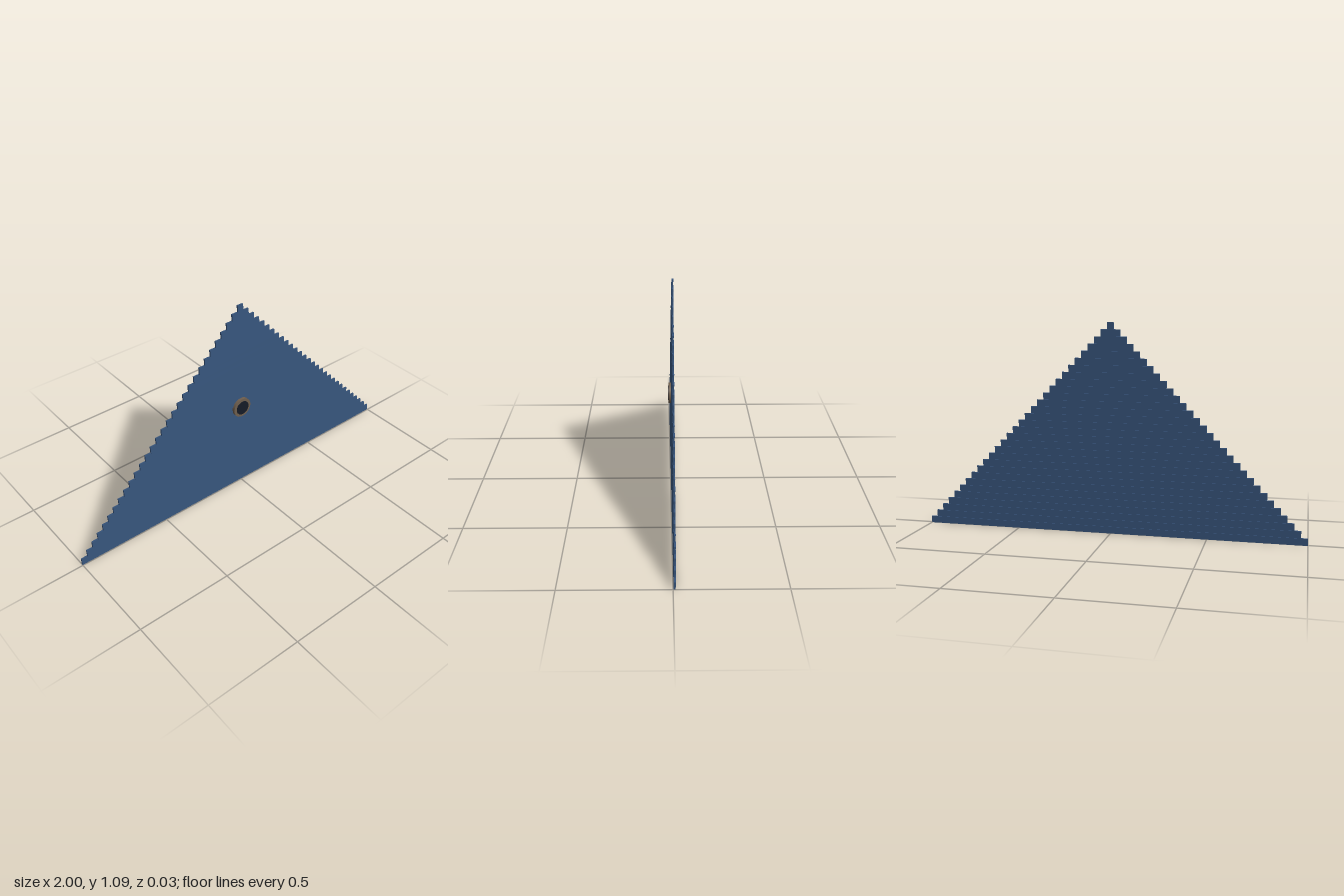
import * as THREE from 'three';

const ROWS = 30, HEIGHT = 1.09, ROW = HEIGHT / ROWS;
const TOP_HALF = 0.0165, STEP = (1 - TOP_HALF) / (ROWS - 1);

function mat(color) {
  return new THREE.MeshStandardMaterial({ color });
}

export function createModel() {
  const model = new THREE.Group();

  // Lapped siding boards: each leans back at the top, shorter row by row
  const siding = new THREE.Group();
  siding.name = 'gableSiding';
  const blue = mat(0x36537a);
  for (let i = 0; i < ROWS; i++) {
    const width = 2 * (1 - i * STEP);
    const board = new THREE.Mesh(new THREE.BoxGeometry(width, ROW, 0.0085), blue);
    board.name = 'sidingBoard';
    board.position.set(0, (i + 0.5) * ROW, -0.0075);
    board.rotation.x = -0.08;
    siding.add(board);
  }
  model.add(siding);

  // Round vent: a stepped collar and the dark disc set in its middle
  const vent = new THREE.Group();
  vent.name = 'roundVent';
  vent.position.set(0, 0.492, 0);
  const addDisc = (name, radius, z0, z1, color) => {
    const geo = new THREE.CylinderGeometry(radius, radius, z1 - z0, 40);
    geo.rotateX(Math.PI / 2);
    const disc = new THREE.Mesh(geo, mat(color));
    disc.name = name;
    disc.position.z = (z0 + z1) / 2;
    vent.add(disc);
  };
  addDisc('ventCollar', 0.053, -0.006, 0.0115, 0x6e5e4e);
  addDisc('ventOpening', 0.038, 0.004, 0.0145, 0x141a26);
  model.add(vent);

  return model;
}
